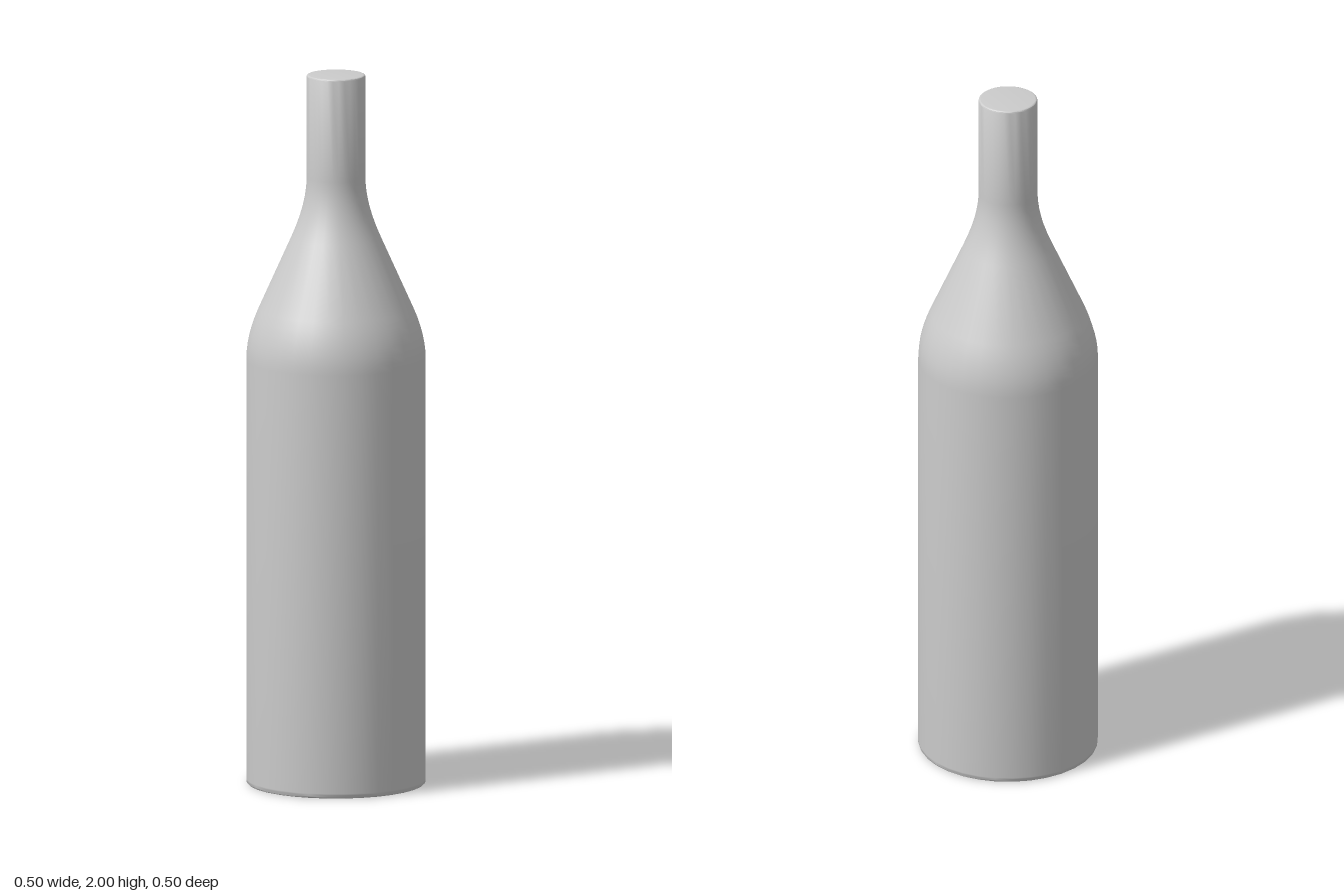
import * as THREE from 'three';
import { toCreasedNormals } from 'three/addons/utils/BufferGeometryUtils.js';

export function createModel() {
  const group = new THREE.Group();
  group.name = 'bottle';

  // Half outline, from the base centre up to the mouth centre
  const outline = new THREE.Path();
  outline.moveTo(0, 0);
  outline.lineTo(0.243, 0);
  outline.quadraticCurveTo(0.25, 0, 0.25, 0.014); // softened base edge
  outline.lineTo(0.25, 1.195);
  outline.quadraticCurveTo(0.25, 1.262, 0.215, 1.34); // shoulder
  outline.lineTo(0.125, 1.54);
  outline.quadraticCurveTo(0.082, 1.635, 0.082, 1.71); // flare into the neck
  outline.lineTo(0.082, 1.993);
  outline.quadraticCurveTo(0.082, 2, 0.076, 2); // softened rim
  outline.lineTo(0, 2);

  // One closed, smooth turned body
  const geometry = toCreasedNormals(new THREE.LatheGeometry(outline.getPoints(6), 32), 0.6);
  const body = new THREE.Mesh(geometry, new THREE.MeshStandardMaterial({ color: 0xcccccc }));
  body.name = 'bottleBody';
  group.add(body);
  return group;
}
